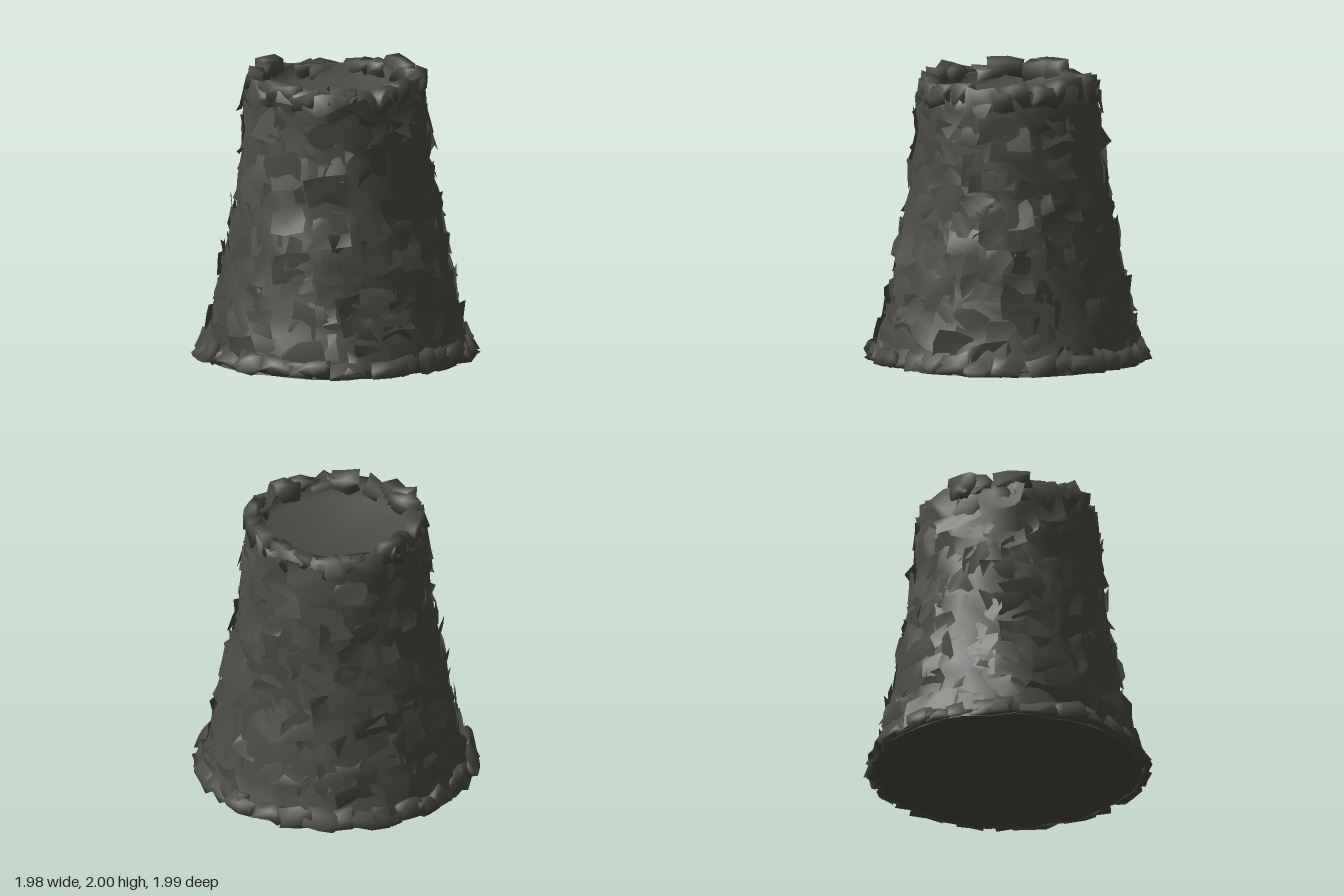
import * as THREE from 'three';
import { mergeGeometries, mergeVertices } from 'three/addons/utils/BufferGeometryUtils.js';

// Small seeded generator; jit returns a value in [-a, a]
let seed = 7;
const rnd = () => {
  seed = (seed * 16807) % 2147483647;
  return seed / 2147483647;
};
const jit = (a) => (rnd() * 2 - 1) * a;

// Outer wall radius by height
const PROFILE = [[0, 0.93], [0.1, 0.895], [0.2, 0.862], [0.4, 0.812], [0.6, 0.775], [1, 0.7],
  [1.2, 0.667], [1.4, 0.638], [1.7, 0.618], [2, 0.595]];
function radiusAt(y) {
  for (let i = 1; i < PROFILE.length; i++) {
    const [y0, r0] = PROFILE[i - 1], [y1, r1] = PROFILE[i];
    if (y <= y1) return r0 + (r1 - r0) * (y - y0) / (y1 - y0);
  }
  return 0.595;
}

// Drop seams so that shading runs smoothly over the whole piece
function weld(geometry) {
  geometry.deleteAttribute('uv');
  geometry.deleteAttribute('normal');
  return mergeVertices(geometry, 1e-4);
}

// Move each vertex by a rule
function reshape(geometry, rule) {
  const p = geometry.attributes.position;
  const v = new THREE.Vector3();
  for (let i = 0; i < p.count; i++) {
    rule(v.fromBufferAttribute(p, i));
    p.setXYZ(i, v.x, v.y, v.z);
  }
  geometry.computeVertexNormals();
  return geometry;
}

// Rough skin of the whole wall, with a rim at the top
function roughSkin(sides, rows) {
  const points = [];
  for (let i = 0; i <= rows; i++) {
    const y = i / rows * 1.92;
    points.push(new THREE.Vector2(radiusAt(y), y));
  }
  points.push(new THREE.Vector2(0.52, 1.91));
  return reshape(weld(new THREE.LatheGeometry(points, sides)), (v) => {
    const r = Math.hypot(v.x, v.z) + jit(0.028);
    const a = Math.atan2(v.x, v.z) + jit(0.05);
    v.set(r * Math.sin(a), v.y > 0.01 ? v.y + jit(0.04) : v.y, r * Math.cos(a));
  });
}

// Roughen a piece, tilt it at random and set it at a given angle, height and radius
function setInWall(geometry, angle, y, r, tilt, rough) {
  const turn = new THREE.Matrix4().makeRotationFromEuler(new THREE.Euler(jit(tilt), jit(tilt), jit(tilt * 1.5)));
  const place = new THREE.Matrix4().makeRotationY(angle)
    .multiply(new THREE.Matrix4().makeTranslation(0, y, r)).multiply(turn);
  return reshape(weld(geometry), (v) => {
    v.x += jit(rough);
    v.y += jit(rough);
    v.z += jit(rough * 0.6);
    v.applyMatrix4(place);
    v.y = THREE.MathUtils.clamp(v.y, 0.004, 2);
    const k = Math.min(1, 0.995 / Math.hypot(v.x, v.z));
    v.x *= k;
    v.z *= k;
  });
}

// A ring of pieces, merged into one geometry
function ring(count, make) {
  const start = rnd() * Math.PI;
  const pieces = [];
  for (let i = 0; i < count; i++) pieces.push(make(start + (i + jit(0.35)) / count * Math.PI * 2));
  return mergeGeometries(pieces);
}

export function createModel() {
  seed = 7;
  const group = new THREE.Group();
  const rock = new THREE.MeshStandardMaterial({ color: 0x4b4b44, side: THREE.DoubleSide });
  rock.name = 'dark rock';
  const add = (name, geometry) => {
    const mesh = new THREE.Mesh(geometry, rock);
    mesh.name = name;
    group.add(mesh);
  };

  add('wall', roughSkin(38, 15));

  // Shallow floor inside the top
  const floor = [[0.53, 1.92], [0.5, 1.81], [0, 1.79]].map(([x, y]) => new THREE.Vector2(x, y));
  add('topFloor', reshape(weld(new THREE.LatheGeometry(floor, 20)), (v) => {
    v.y += jit(0.01);
  }));

  // Underside, flat with a softly shaded edge
  const base = [[0, 0], [0.9, 0], [0.94, 0.04]].map(([x, y]) => new THREE.Vector2(x, y));
  add('underside', reshape(weld(new THREE.LatheGeometry(base, 40)), (v) => v));

  // Flakes of rock lifting off the wall
  for (let i = 0; i < 12; i++) {
    const y = 0.17 + i * 0.142;
    add('rockFlakes', ring(Math.round(radiusAt(y) * 26), (a) => {
      const yy = y + jit(0.07);
      const flake = new THREE.PlaneGeometry(0.24 + jit(0.06), 0.19 + jit(0.05), 2, 2);
      flake.rotateX(-0.12);
      return setInWall(flake, a, yy, radiusAt(yy) + 0.004 + jit(0.015), 0.24, 0.03);
    }));
  }

  // Spreading foot flakes, sloping outwards
  add('footFlakes', ring(34, (a) => {
    const flake = new THREE.BoxGeometry(0.23 + jit(0.05), 0.14 + jit(0.03), 0.06, 2, 2, 1);
    flake.rotateX(-0.5);
    return setInWall(flake, a, 0.055 + jit(0.02), 0.915 + jit(0.02), 0.22, 0.024);
  }));

  // Broken rim stones around the opening
  add('rimStones', ring(19, (a) =>
    setInWall(new THREE.BoxGeometry(0.21 + jit(0.05), 0.14 + jit(0.04), 0.1, 2, 2, 1),
      a, 1.885 + jit(0.035), 0.555 + jit(0.012), 0.2, 0.024)));

  return group;
}
